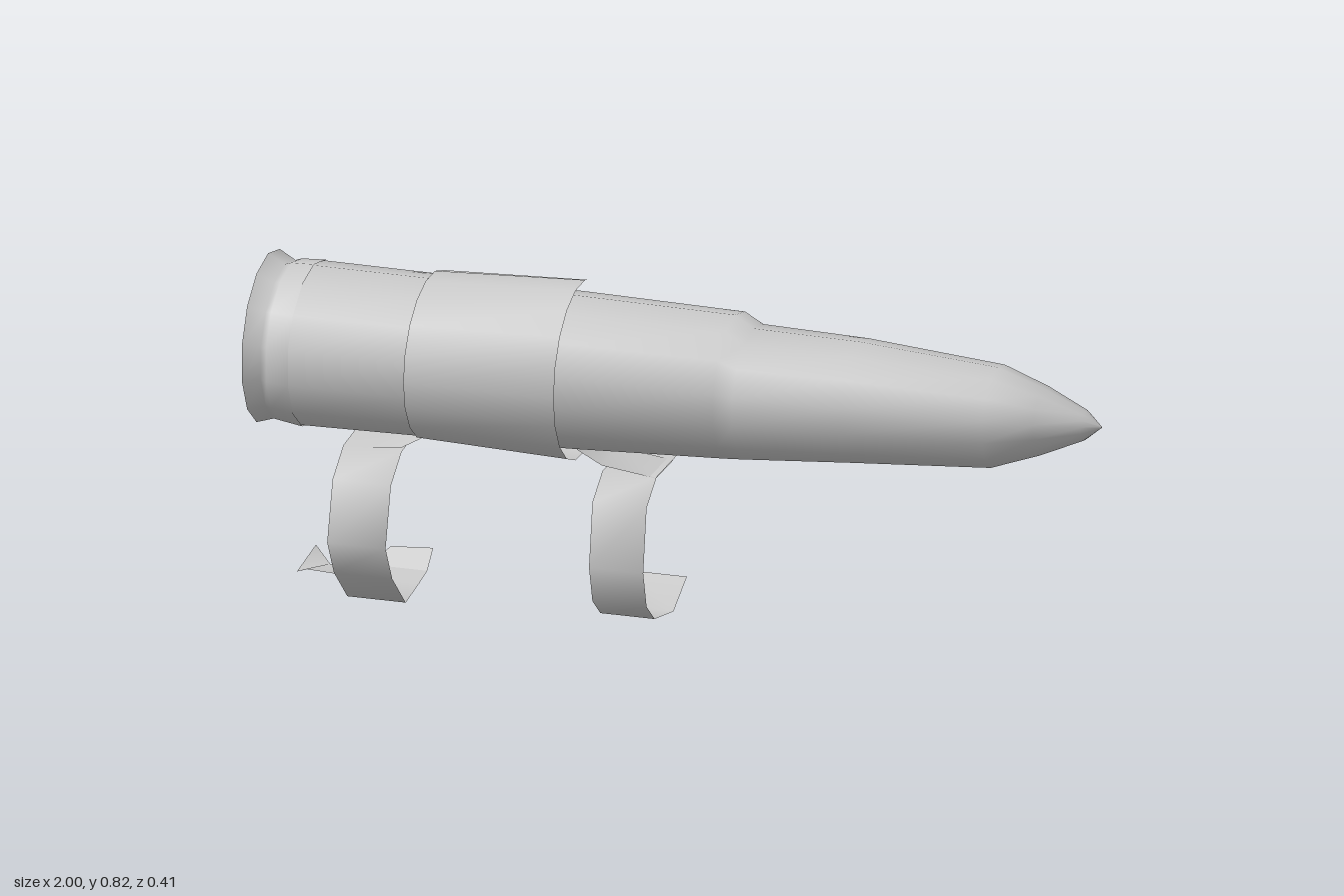
import * as THREE from 'three';

const material = new THREE.MeshStandardMaterial({ color: 0xcccccc, side: THREE.DoubleSide });

// Skin a grid of rows of points; closed rows wrap around.
function skin(name, rows, closed = false) {
  const n = rows[0].length, index = [];
  for (let i = 0; i < rows.length - 1; i++) {
    for (let j = 0; j < (closed ? n : n - 1); j++) {
      const k = (j + 1) % n, a = i * n + j, b = i * n + k;
      index.push(a, b, a + n, b, b + n, a + n);
    }
  }
  const geometry = new THREE.BufferGeometry();
  geometry.setAttribute('position', new THREE.Float32BufferAttribute(rows.flat(2), 3));
  geometry.setIndex(index);
  geometry.computeVertexNormals();
  const mesh = new THREE.Mesh(geometry, material);
  mesh.name = name;
  return mesh;
}

// Arc across the long axis, measured from the top towards +z.
function arc(x, bottom, top, halfWidth, from, to, count, centre = 0.62) {
  return Array.from({ length: count }, (_, j) => {
    const a = from + (to - from) * j / (count - 1), c = Math.cos(a);
    return [x, centre + c * (c > 0 ? top - centre : centre - bottom), halfWidth * Math.sin(a)];
  });
}
const SIDES = 14;
const ring = (r) => arc(...r, 0, Math.PI * 2, SIDES + 1).slice(0, SIDES);

// Hooked band swept along a [z, y] path between two x positions.
function band(name, x0, x1, path) {
  return skin(name, path.map(([z, y]) => [[x0, y, z], [x1, y, z]]));
}

export function createModel() {
  const group = new THREE.Group();

  // Tapered body: x, bottom, top, half width
  const bodyRings = [
    [-0.9, 0.425, 0.803, 0.198], [-0.6, 0.43, 0.802, 0.193], [-0.25, 0.438, 0.8, 0.181],
    [0.12, 0.455, 0.795, 0.17], [0.165, 0.458, 0.767, 0.168], [0.42, 0.478, 0.763, 0.152],
    [0.75, 0.5, 0.738, 0.122], [0.86, 0.54, 0.7, 0.085], [0.96, 0.585, 0.655, 0.04],
    [1, 0.619, 0.621, 0.001],
  ];
  group.add(skin('body', bodyRings.map(ring), true));

  // Flared rear collar and its closing disc
  const collarRings = [
    [-1, 0.42, 0.82, 0.2], [-0.96, 0.432, 0.798, 0.184],
    [-0.945, 0.43, 0.803, 0.19], [-0.89, 0.422, 0.805, 0.2],
  ];
  group.add(skin('rearCollar', collarRings.map(ring), true));
  const hub = Array.from({ length: SIDES }, () => [-1, 0.62, 0]);
  group.add(skin('rearCap', [hub, ring(collarRings[0])], true));

  // Wrapped sleeve, open along the back
  group.add(skin('sleeve', [[-0.61, 0.425, 0.812, 0.205], [-0.25, 0.41, 0.83, 0.203]]
    .map((r) => arc(...r, -0.5, Math.PI + 0.5, 13))));

  // Slanted tabs joining the sleeve to the bands
  const tab = (name, points) => skin(name, points.map(([x, y]) => [[x, y, 0.03], [x, y, -0.1]]));
  group.add(tab('rearTab', [[-0.61, 0.43], [-0.67, 0.395], [-0.81, 0.38]]));
  group.add(tab('frontTab', [[-0.25, 0.437], [-0.19, 0.405], [-0.06, 0.388]]));

  // Hooked bands
  group.add(band('rearBand', -0.81, -0.67, [
    [-0.15, 0.4], [0.03, 0.385], [0.11, 0.33], [0.15, 0.19],
    [0.1, 0.1], [0, 0.008], [-0.1, 0.02], [-0.16, 0.03],
  ]));
  group.add(band('frontBand', -0.19, -0.06, [
    [-0.145, 0.39], [0.025, 0.39], [0.1, 0.34], [0.125, 0.19],
    [0.1, 0.1], [0.04, 0.05], [-0.1, 0.02], [-0.2, 0.07],
  ]));

  // Bent end of the rear band, with its side flap
  group.add(skin('rearBandTip', [
    [[-0.81, 0.03, -0.16], [-0.67, 0.03, -0.16]],
    [[-0.77, 0.065, -0.2], [-0.67, 0.07, -0.205]],
  ]));
  group.add(skin('rearBandFlap', [
    [[-0.81, 0.05, -0.02], [-0.81, 0.02, -0.12]],
    [[-0.93, 0.04, -0.06], [-0.9, 0.025, -0.15]],
    [[-0.96, 0.02, -0.09], [-0.94, 0.06, -0.17]],
  ]));
  return group;
}
